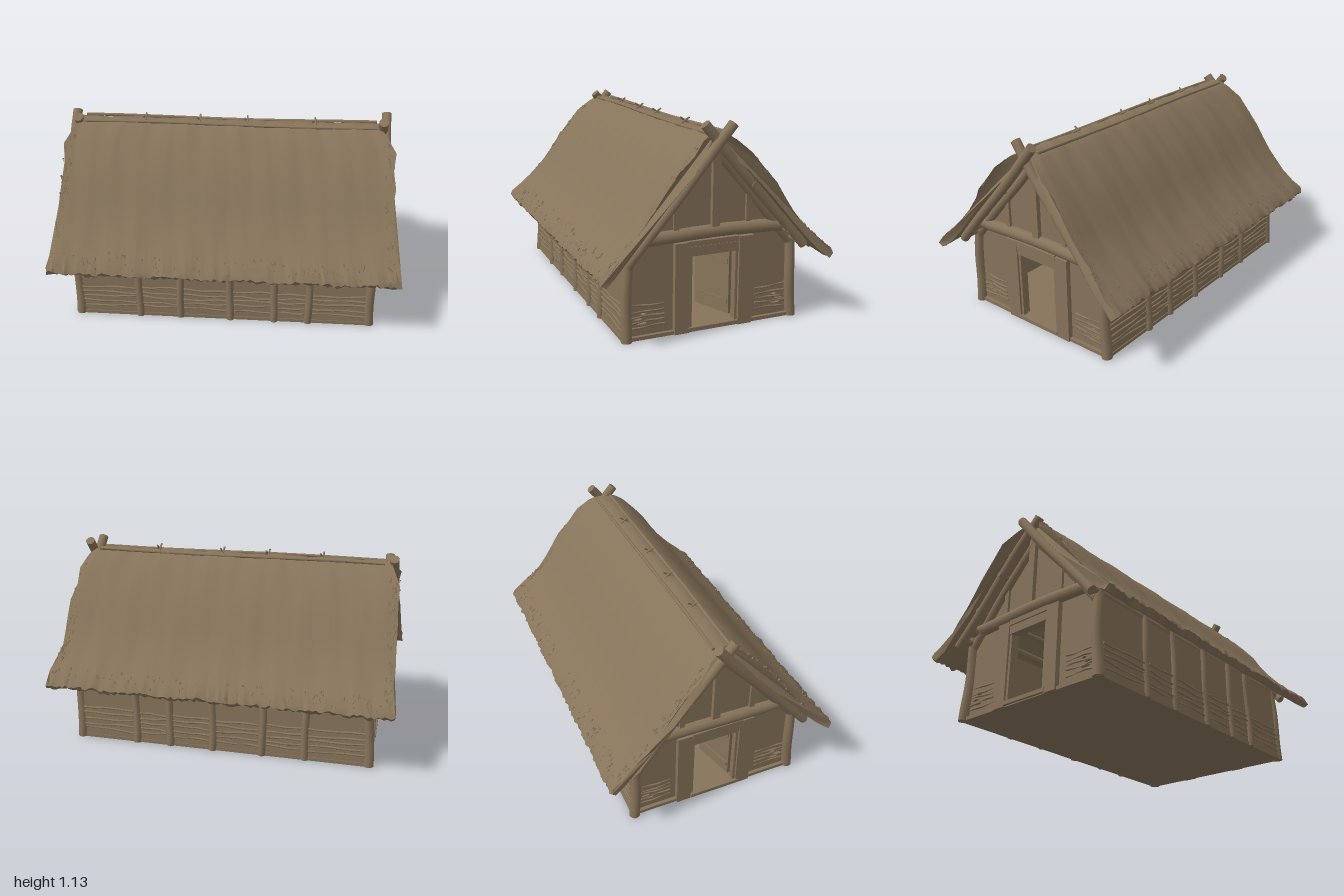
import * as THREE from 'three';
import { mergeGeometries, toCreasedNormals } from 'three/addons/utils/BufferGeometryUtils.js';

const brown = new THREE.MeshStandardMaterial({ color: 0x86735a });
brown.name = 'weathered brown';

let seed = 7;
const rand = () => (seed = (seed * 16807) % 2147483647) / 2147483647;
const jitter = (a) => (rand() - 0.5) * 2 * a;
const V = (x, y, z) => new THREE.Vector3(x, y, z);

function add(parent, name, geometry) {
  const mesh = new THREE.Mesh(geometry, brown);
  mesh.name = name;
  parent.add(mesh);
  return mesh;
}

// Slightly crooked, tapered round pole from a to b
function pole(a, b, r, r2 = r * 0.9, bend = 0.12) {
  const length = a.distanceTo(b);
  const g = new THREE.CylinderGeometry(r2, r, length, 10, 8);
  const p = g.attributes.position, phase = rand() * 6;
  for (let i = 0; i < p.count; i++) {
    const t = p.getY(i) / length + 0.5;
    p.setX(i, p.getX(i) + Math.sin(t * 7 + phase) * r * bend);
    p.setZ(i, p.getZ(i) + Math.cos(t * 6 + phase) * r * bend);
  }
  g.computeVertexNormals();
  const q = new THREE.Quaternion().setFromUnitVectors(V(0, 1, 0), b.clone().sub(a).normalize());
  g.applyQuaternion(q);
  const mid = a.clone().add(b).multiplyScalar(0.5);
  return toCreasedNormals(g.translate(mid.x, mid.y, mid.z), 0.9);
}

function box(w, h, d, x, y, z) {
  return new THREE.BoxGeometry(w, h, d).translate(x, y, z);
}

// Half profile of the thatch: [z, y] from ridge to eave, above and below
const upper = [[0, 1.07], [0.045, 1.06], [0.09, 1.035], [0.167, 0.965], [0.24, 0.885], [0.31, 0.8],
  [0.365, 0.715], [0.42, 0.638], [0.475, 0.575], [0.53, 0.518], [0.6, 0.455], [0.655, 0.41], [0.67, 0.385]];
const lower = [[0.645, 0.362], [0.58, 0.405], [0.5, 0.485], [0.4, 0.6], [0.3, 0.72], [0.15, 0.875], [0, 1.01]];

function thatchTopY(z) {
  for (let i = 1; i < upper.length; i++) {
    const [z0, y0] = upper[i - 1], [z1, y1] = upper[i];
    if (z <= z1) return y0 + (y1 - y0) * (z - z0) / (z1 - z0);
  }
  return 0.385;
}
const roofHalf = (z) => 0.885 + 0.075 * Math.min(1, z / 0.17) + 0.035 * Math.max(0, (z - 0.4) / 0.27);

// Thatch: one closed cross-section swept along x, with ragged rims
function thatch() {
  const flip = (list) => list.map(([z, y]) => [-z, y]);
  const ring = [...upper.slice().reverse(), ...flip(upper.slice(1)), ...flip(lower), ...lower.slice(0, -1).reverse()];
  const m = ring.length, n = 110, pos = [], index = [];
  for (let i = 0; i <= n; i++) {
    const t = (i / n) * 2 - 1;
    for (let k = 0; k < m; k++) {
      const [z, y] = ring[k], az = Math.abs(z);
      const rim = az > 0.6 ? 0.009 : 0.0015;
      const end = i === 0 || i === n ? jitter(0.012) : 0;
      const wave = 0.003 * Math.sin(t * 17 + z * 9) + 0.002 * Math.sin(t * 41 - z * 5);
      pos.push(t * roofHalf(az) + end, y + wave + jitter(rim), z + jitter(rim * 0.7));
    }
  }
  const at = (i, k) => i * m + (k % m);
  for (let i = 0; i < n; i++)
    for (let k = 0; k < m; k++)
      index.push(at(i, k), at(i + 1, k), at(i, k + 1), at(i, k + 1), at(i + 1, k), at(i + 1, k + 1));
  // End faces
  const contour = ring.map(([z, y]) => new THREE.Vector2(z, y));
  for (const [a, b, c] of THREE.ShapeUtils.triangulateShape(contour, [])) {
    index.push(a, b, c);
    index.push(n * m + a, n * m + c, n * m + b);
  }
  const g = new THREE.BufferGeometry();
  g.setAttribute('position', new THREE.Float32BufferAttribute(pos, 3));
  g.setIndex(index);
  return toCreasedNormals(g, 0.8);
}

// Loose straw along the eaves and the gable rims
function strawTufts() {
  const parts = [];
  const tuft = (x, y, z, side, size) => {
    const g = new THREE.ConeGeometry(size * 0.35, size * 2, 5);
    g.rotateX(side * 2.35).rotateY(jitter(0.5));
    parts.push(g.translate(x, y, z));
  };
  for (const s of [-1, 1]) {
    for (let i = 0; i < 90; i++) {
      const z = 0.585 + rand() * 0.075;
      tuft(jitter(0.97), thatchTopY(z), s * z, s, 0.009 + rand() * 0.006);
    }
    for (const e of [-1, 1])
      for (let i = 0; i < 45; i++) {
        const z = 0.12 + rand() * 0.5;
        tuft(e * (roofHalf(z) - rand() * 0.05), thatchTopY(z), s * z, s, 0.01 + rand() * 0.008);
      }
  }
  return mergeGeometries(parts);
}

// Gable wall with the doorway and small gaps in the wattle
function gableWall() {
  const shape = new THREE.Shape();
  [[-0.505, 0], [-0.13, 0], [-0.13, 0.43], [0.14, 0.43], [0.14, 0], [0.505, 0], [0.49, 0.48], [0, 1.03], [-0.49, 0.48]]
    .forEach(([x, y], i) => (i ? shape.lineTo(x, y) : shape.moveTo(x, y)));
  for (const s of [-1, 1])
    [[0.4, 0.085, 0.03], [0.42, 0.11, 0.025], [0.39, 0.135, 0.016]].forEach(([x, y, r]) => {
      const hole = new THREE.Path();
      hole.absellipse(s * x, y, r, 0.006, 0, Math.PI * 2);
      shape.holes.push(hole);
    });
  return new THREE.ExtrudeGeometry(shape, { depth: 0.035, bevelEnabled: false, curveSegments: 6 })
    .rotateY(Math.PI / 2).translate(0.815, 0, 0);
}

function gableEnd(name, e) {
  const end = new THREE.Group();
  end.name = name;
  const wall = gableWall();
  if (e < 0) wall.translate(-0.815 * 2 - 0.035, 0, 0);
  add(end, 'gableWall', wall);
  const x = e * 0.855;
  // Timber frame
  add(end, 'doorPosts', mergeGeometries([0.18, -0.195].map((z) => box(0.05, 0.5, 0.085, x, 0.25, z))));
  add(end, 'doorLintel', mergeGeometries([box(0.04, 0.05, 0.3, x, 0.447, 0), box(0.05, 0.03, 0.3, x, 0.49, 0)]));
  add(end, 'doorSill', box(0.06, 0.022, 0.3, x, 0.017, 0));
  add(end, 'doorJambs', mergeGeometries([0.128, -0.142].map((z) => box(0.03, 0.4, 0.015, x, 0.22, z))));
  add(end, 'tieBeam', pole(V(x, 0.538, -0.46), V(x, 0.538, 0.46), 0.037, 0.036));
  add(end, 'kingPost', box(0.04, 0.46, 0.045, x, 0.77, -0.012));
  add(end, 'gableStuds', mergeGeometries([-0.21, 0.21].map((z) => box(0.02, 0.2, 0.03, x, 0.63, z))));
  // Wattle rods
  const rods = [];
  for (const s of [-1, 1])
    for (const y of [0.065, 0.098, 0.122, 0.15, 0.18])
      rods.push(pole(V(e * 0.849, y, s * 0.27), V(e * 0.849, y + jitter(0.01), s * 0.47), 0.006, 0.006, 0.5));
  add(end, 'gableWattle', mergeGeometries(rods));
  // Crossed rafters and the inner pair against the wall
  const over = e > 0 ? 0.075 : 0.055;
  const outer = [], inner = [];
  for (const s of [-1, 1]) {
    const tx = e * (0.91 + s * 0.014);
    outer.push(pole(V(e * 0.935, 0.43, s * 0.51), V(tx, 1.03 + over * 1.1, -s * over), 0.026, 0.028));
    inner.push(pole(V(x, 0.44, s * 0.475), V(x, 0.985, 0), 0.028, 0.026));
  }
  add(end, 'crossedRafters', mergeGeometries(outer));
  add(end, 'innerRafters', mergeGeometries(inner));
  // Door leaf standing open into the house
  const leaf = new THREE.Group();
  leaf.name = 'openDoor';
  add(leaf, 'doorLeaf', box(0.25, 0.37, 0.02, -0.125, 0.235, 0));
  add(leaf, 'doorBattens', mergeGeometries([0.12, 0.35].map((y) => box(0.23, 0.03, 0.034, -0.125, y, 0))));
  leaf.position.set(e * 0.83, 0, e > 0 ? -0.125 : 0.115);
  leaf.rotation.y = (e > 0 ? 0 : Math.PI) + (e > 0 ? 0.37 : 0.26);
  end.add(leaf);
  return end;
}

export function createModel() {
  const house = new THREE.Group();
  house.name = 'thatchedHouse';
  add(house, 'floor', box(1.74, 0.02, 1.02, 0, 0.01, 0));

  // Long walls with posts and wattle
  const stations = [-0.5, -0.255, 0.04, 0.3, 0.505];
  const bays = [-0.86, ...stations, 0.86];
  for (const s of [-1, 1]) {
    const side = new THREE.Group();
    side.name = s > 0 ? 'frontWall' : 'backWall';
    add(side, 'wallPanel', box(1.7, 0.49, 0.035, 0, 0.245, 0).rotateX(-s * 0.03).translate(0, 0, s * 0.488));
    add(side, 'wallPosts', mergeGeometries(stations.map((x) =>
      pole(V(x, 0, s * 0.502), V(x + jitter(0.008), 0.47, s * 0.488), 0.023, 0.022))));
    add(side, 'cornerPosts', mergeGeometries([-1, 1].map((e) =>
      pole(V(e * 0.862, 0, s * 0.492), V(e * 0.852, 0.5, s * 0.472), 0.03, 0.028))));
    const rods = [];
    for (let i = 0; i < bays.length - 1; i++)
      for (const y of [0.06, 0.09, 0.125, 0.155, 0.19])
        rods.push(pole(V(bays[i] + 0.02, y + jitter(0.008), s * 0.503), V(bays[i + 1] - 0.02, y + jitter(0.008), s * 0.503), 0.006, 0.006, 0.5));
    add(side, 'wallWattle', mergeGeometries(rods));
    // Purlins whose ends show under the gables
    add(side, 'purlins', mergeGeometries([[0.43, 0.52], [0.475, 0.468], [0.36, 0.615], [0.2, 0.79]].map(([z, y], i) =>
      pole(V(-0.945, y, s * z), V(0.945, y, s * z), i < 2 ? 0.021 : 0.016, i < 2 ? 0.021 : 0.016))));
    house.add(side);
  }
  house.add(gableEnd('rightGable', -1), gableEnd('leftGable', 1));

  // Roof and ridge
  add(house, 'thatch', thatch());
  add(house, 'strawTufts', strawTufts());
  add(house, 'ridgePoles', mergeGeometries([-0.052, 0.045].map((z) =>
    pole(V(-0.87, 1.062, z), V(0.87, 1.062, z), 0.009, 0.009, 0.4))));
  const pins = [];
  for (const x of [-0.505, -0.18, 0.1, 0.5])
    for (const s of [-1, 1]) pins.push(pole(V(x + s * 0.006, 1.03, s * 0.075), V(x + s * 0.006, 1.095, -s * 0.025), 0.006));
  add(house, 'ridgePins', mergeGeometries(pins));
  return house;
}
